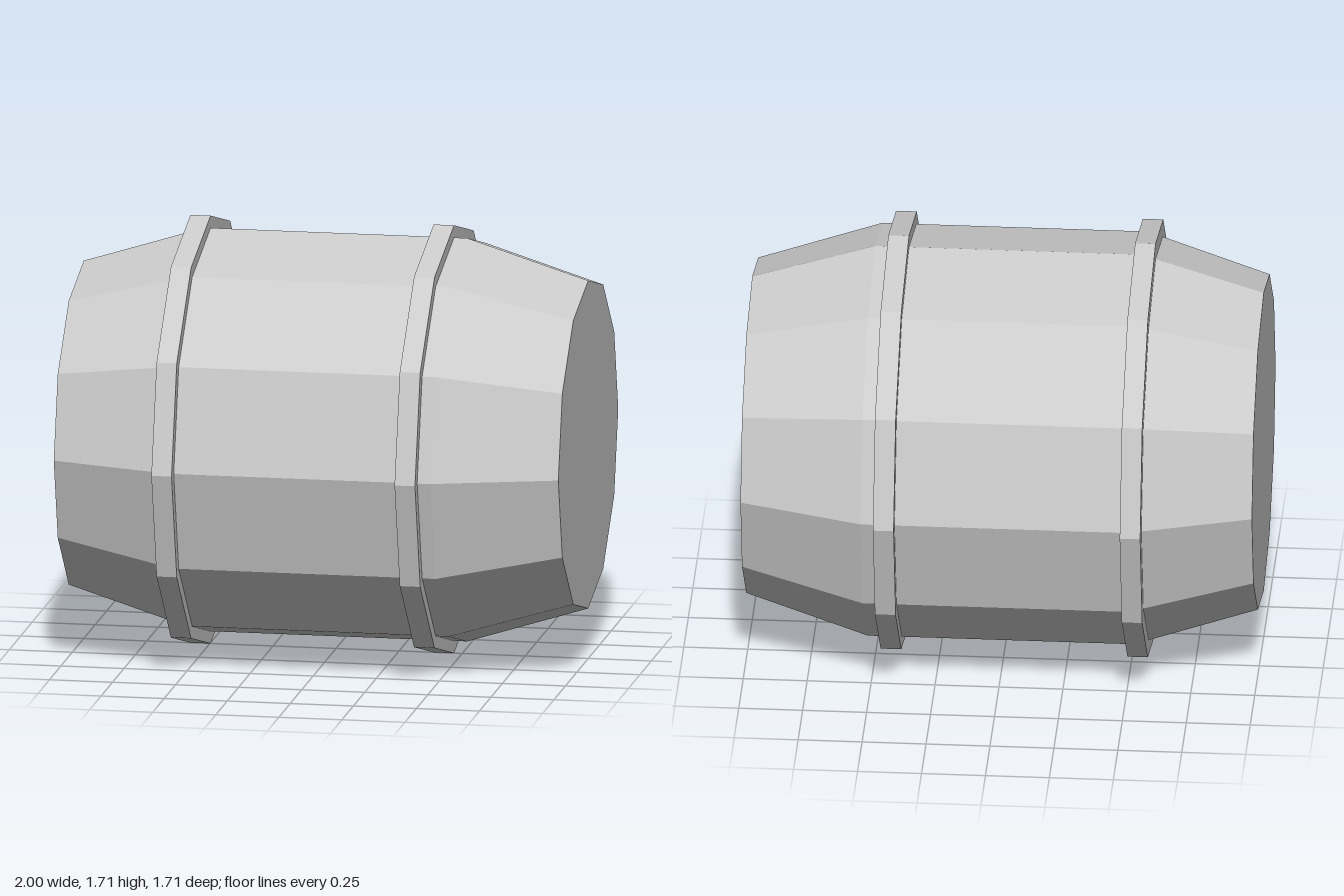
import * as THREE from 'three';

const SIDES = 12;
const RADIUS = 0.855; // outer hoop radius, also the height of the axis

const material = new THREE.MeshStandardMaterial({ color: 0xcccccc, flatShading: true });

// Faceted solid turned around the x axis from [x, radius] pairs
function turned(name, profile) {
  const points = profile.map(([x, r]) => new THREE.Vector2(r, x));
  const geometry = new THREE.LatheGeometry(points, SIDES).toNonIndexed();
  geometry.rotateZ(-Math.PI / 2);
  geometry.computeVertexNormals();
  const mesh = new THREE.Mesh(geometry, material);
  mesh.name = name;
  return mesh;
}

export function createModel() {
  const barrel = new THREE.Group();
  barrel.name = 'barrel';

  // Body: straight middle, tapered ends, flat lids
  barrel.add(turned('body', [
    [-1, 0], [-1, 0.655], [-0.52, 0.806], [0.52, 0.806], [1, 0.655], [1, 0],
  ]));

  // Hoops: closed square-edged bands, sunk into the body
  const hoops = { rightHoop: [-0.577, -0.497], leftHoop: [0.387, 0.468] };
  for (const [name, [a, b]] of Object.entries(hoops)) {
    barrel.add(turned(name, [[a, 0.76], [a, RADIUS], [b, RADIUS], [b, 0.76], [a, 0.76]]));
  }

  barrel.position.y = RADIUS;
  const model = new THREE.Group();
  model.add(barrel);
  return model;
}
